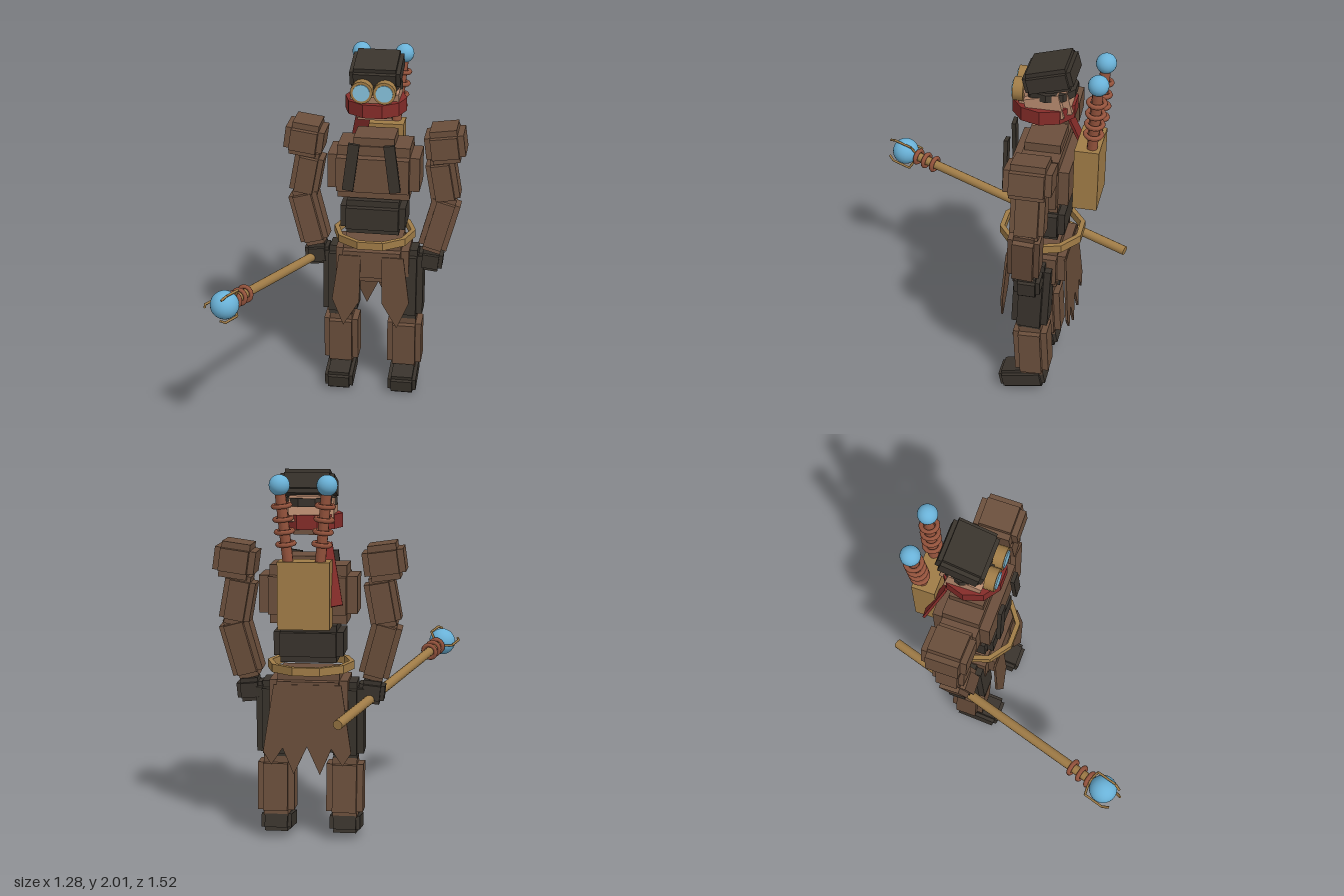
import * as THREE from 'three';
import { mergeGeometries } from 'three/addons/utils/BufferGeometryUtils.js';

const mat = (name, color, extra = {}) => {
  const m = new THREE.MeshStandardMaterial({ color, ...extra });
  m.name = name;
  return m;
};

export function createModel() {
  const root = new THREE.Group();
  root.name = 'staffBearer';
  const M = {
    brown: mat('brown leather', 0x6b4f3c),
    cloth: mat('brown cloth', 0x674c39, { side: THREE.DoubleSide }),
    dark: mat('dark leather', 0x39332c),
    brass: mat('brass', 0xa07c47),
    copper: mat('copper', 0x96543d),
    red: mat('red scarf', 0x852c29),
    skin: mat('skin', 0xb78a6e),
    blue: mat('blue glow', 0x6ab2d8),
    lens: mat('lens glass', 0x86c0da),
  };
  const V = (x, y, z) => new THREE.Vector3(x, y, z);

  const add = (name, geo, material, pos = [0, 0, 0], rot = [0, 0, 0], parent = root) => {
    const mesh = new THREE.Mesh(geo, material);
    mesh.name = name;
    mesh.position.set(...pos);
    mesh.rotation.set(...rot);
    parent.add(mesh);
    return mesh;
  };
  const box = (w, h, d) => new THREE.BoxGeometry(w, h, d);
  // Step-edged block: three crossing boxes, each full size along one axis
  const block = (w, h, d) => {
    const c = 0.36 * Math.min(w, h, d);
    return mergeGeometries([box(w, h - c, d - c), box(w - c, h, d - c), box(w - c, h - c, d)]);
  };
  // Ten-sided flat band with corners on the left and right
  const band = (outer, inner, h) => {
    const p = [[inner, -h / 2], [outer, -h / 2], [outer, h / 2], [inner, h / 2], [inner, -h / 2]]
      .map(([x, y]) => new THREE.Vector2(x, y));
    const g = new THREE.LatheGeometry(p, 10).rotateY(Math.PI / 10).toNonIndexed();
    g.computeVertexNormals();
    return g;
  };
  // Round rod between two points
  const rod = (name, a, b, r, material, sides = 10) => {
    const dir = b.clone().sub(a);
    const mesh = add(name, new THREE.CylinderGeometry(r, r, dir.length(), sides), material);
    mesh.position.copy(a).add(b).multiplyScalar(0.5);
    mesh.quaternion.setFromUnitVectors(V(0, 1, 0), dir.normalize());
    return mesh;
  };
  // Ring threaded on the line a-b at fraction t
  const ring = (name, a, b, t, r, tube) => {
    const mesh = add(name, new THREE.TorusGeometry(r, tube, 6, 14), M.copper);
    mesh.position.lerpVectors(a, b, t);
    mesh.quaternion.setFromUnitVectors(V(0, 0, 1), b.clone().sub(a).normalize());
  };
  const flap = (pts) => new THREE.ExtrudeGeometry(
    new THREE.Shape(pts.map(([x, y]) => new THREE.Vector2(x, y))), { depth: 0.012, bevelEnabled: false });

  const C = 0.12, Z = -0.31; // body axis

  // Torso
  add('torso', block(0.52, 0.31, 0.32), M.brown, [C, 1.355, -0.32]);
  add('collar', box(0.23, 0.06, 0.19), M.brown, [C, 1.527, -0.32]);
  add('waist', block(0.37, 0.2, 0.29), M.dark, [C, 1.09, Z]);
  add('pelvis', block(0.42, 0.25, 0.32), M.brown, [C, 0.815, Z]);
  add('belt', band(0.235, 0.208, 0.044), M.brass, [C, 0.962, Z]);

  // Head
  add('head', block(0.27, 0.21, 0.26), M.skin, [C, 1.775, -0.325], [0.25, 0, 0]);
  add('cap', block(0.28, 0.125, 0.255), M.dark, [C, 1.922, -0.34], [0.27, 0, 0]);
  add('goggleStrap', band(0.145, 0.12, 0.042), M.dark, [C, 1.84, -0.335]);
  add('scarf', band(0.172, 0.135, 0.075), M.red, [C, 1.738, Z]);
  add('scarfTail', box(0.085, 0.34, 0.014), M.red, [0, 1.47, -0.487], [0.36, 0, -0.2]);

  // Back skirt with ragged hem
  add('backSkirt', flap([[-0.18, 0], [0.18, 0], [0.235, -0.36], [0.19, -0.43], [0.13, -0.34],
    [0.07, -0.48], [0, -0.33], [-0.07, -0.48], [-0.13, -0.34], [-0.19, -0.43], [-0.235, -0.36]]),
  M.cloth, [C, 0.88, -0.475], [0.08, 0, 0]);

  // Backpack
  add('backpack', box(0.27, 0.35, 0.13), M.brass, [C, 1.375, -0.555]);

  // Paired parts
  for (const s of [-1, 1]) {
    const side = s > 0 ? 'left' : 'right';
    const x = (d) => C + s * d;

    // Goggles
    add(side + 'GoggleRim', new THREE.CylinderGeometry(0.062, 0.062, 0.055, 16), M.brass,
      [x(0.063), 1.84, -0.185], [Math.PI / 2, 0, 0]);
    add(side + 'GoggleLens', new THREE.CylinderGeometry(0.047, 0.047, 0.008, 16), M.lens,
      [x(0.063), 1.84, -0.155], [Math.PI / 2, 0, 0]);

    // Chest strap
    add(side + 'ChestStrap', box(0.062, 0.275, 0.022), M.dark, [x(0.115), 1.417, -0.128], [0, 0, s * 0.13]);

    // Arm
    add(side + 'Shoulder', block(0.22, 0.19, 0.25), M.brown, [x(0.395), 1.525, -0.313], [0, 0, s * 0.14]);
    add(side + 'UpperArm', block(0.165, 0.27, 0.18), M.brown, [x(0.387), 1.31, Z], [0, 0, s * 0.18]);
    add(side + 'Forearm', block(0.165, 0.34, 0.17), M.brown, [x(0.375), 1.05, -0.29], [-0.06, 0, -s * 0.26]);
    add(side + 'Hand', block(0.14, 0.125, 0.14), M.dark, [x(0.328), 0.82, -0.3], [0, 0, -s * 0.1]);

    // Leg
    add(side + 'Thigh', block(0.2, 0.43, 0.2), M.dark, [x(0.19), 0.665, -0.3], [-0.04, 0, 0]);
    add(side + 'Shin', block(0.2, 0.33, 0.19), M.brown, [x(0.187), 0.288, -0.305], [0.06, 0, 0]);
    add(side + 'Foot', block(0.165, 0.115, 0.26), M.dark, [x(0.187), 0.075, -0.255], [0.2, 0, 0]);

    // Front skirt tab
    const tab = [[0.06, 0], [0.185, 0], [0.222, -0.27], [0.155, -0.43], [0.065, -0.28]];
    add(side + 'FrontTab', flap(tab.map(([px, py]) => [s * px, py])), M.cloth,
      [C, 0.87, -0.155], [-0.07, 0, 0]);

    // Coil mast with glowing ball
    const a = V(x(0.083), 1.54, -0.575), b = V(x(0.122), 1.94, -0.6);
    rod(side + 'CoilMast', a, b, 0.028, M.copper);
    for (const t of [0.25, 0.41, 0.57, 0.74]) ring(side + 'CoilRing', a, b, t, 0.043, 0.013);
    add(side + 'CoilBall', new THREE.SphereGeometry(0.054, 20, 14), M.blue, b.toArray());
  }

  // Staff held in the right hand
  const butt = V(-0.07, 0.735, -0.745), orb = V(-0.545, 0.915, 0.655);
  const along = orb.clone().sub(butt).normalize();
  const at = (d, out) => orb.clone().addScaledVector(along, d).add(out);
  rod('staff', butt, at(-0.05, V(0, 0, 0)), 0.026, M.brass, 12);
  for (const t of [0.86, 0.9, 0.938]) ring('staffRing', butt, orb, t, 0.039, 0.013);
  add('staffOrb', new THREE.SphereGeometry(0.077, 24, 16), M.blue, orb.toArray());

  // Three bent claws around the orb
  const across = V(0, 1, 0).cross(along).normalize();
  const up = along.clone().cross(across);
  for (let i = 0; i < 3; i++) {
    const ang = Math.PI / 3 + (i * 2 * Math.PI) / 3;
    const out = across.clone().multiplyScalar(Math.cos(ang)).addScaledVector(up, Math.sin(ang));
    const p = [[-0.085, 0.015], [-0.06, 0.085], [0.055, 0.085], [0.09, 0.065]]
      .map(([d, r]) => at(d, out.clone().multiplyScalar(r)));
    for (let k = 0; k < 3; k++) rod('staffClaw', p[k], p[k + 1], 0.007, M.brass, 6);
  }
  return root;
}
